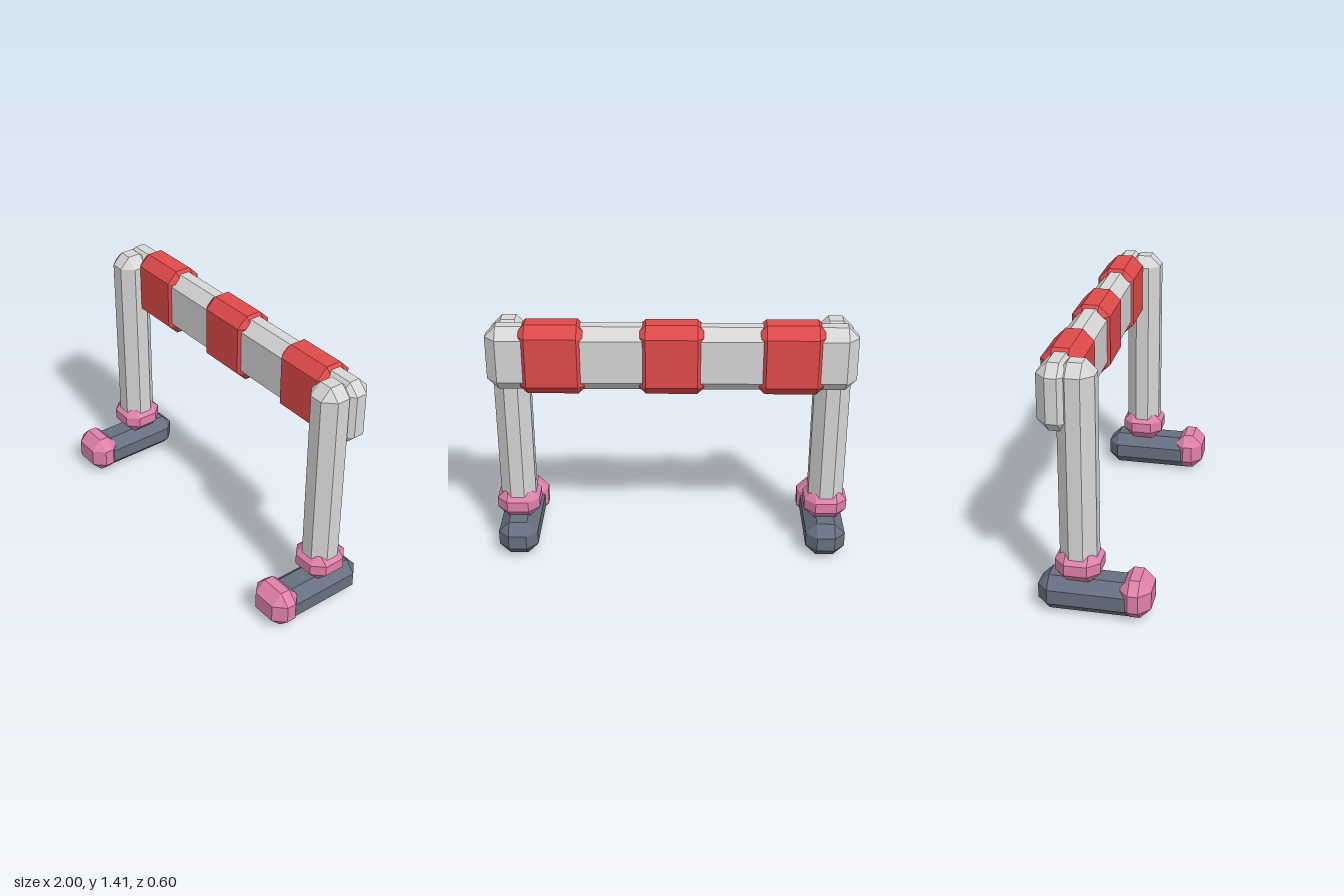
import * as THREE from 'three';
import { ConvexGeometry } from 'three/addons/geometries/ConvexGeometry.js';

const mat = (name, color) => Object.assign(new THREE.MeshStandardMaterial({ color, flatShading: true }), { name });

// Box with every edge and corner cut at 45 degrees
function chamferBox(w, h, d, c = 0.06) {
  const half = [w / 2, h / 2, d / 2];
  const points = [];
  for (const sx of [-1, 1]) for (const sy of [-1, 1]) for (const sz of [-1, 1]) {
    for (let axis = 0; axis < 3; axis++) {
      const [x, y, z] = half.map((v, i) => (i === axis ? v : v - c));
      points.push(new THREE.Vector3(sx * x, sy * y, sz * z));
    }
  }
  return new ConvexGeometry(points);
}

export function createModel() {
  const group = new THREE.Group();
  group.name = 'barrier';

  const grey = mat('light grey', 0xd6d6d6);
  const red = mat('red', 0xe04a4a);
  const pink = mat('pink', 0xe080ab);
  const slate = mat('slate', 0x667080);

  const add = (name, material, size, position, parent = group) => {
    const mesh = new THREE.Mesh(chamferBox(...size), material);
    mesh.name = name;
    mesh.position.set(...position);
    parent.add(mesh);
  };

  // Crossbar with three raised bands
  add('crossbar', grey, [1.974, 0.36, 0.18], [0, 1.21, -0.185]);
  for (const x of [-0.635, 0, 0.635]) {
    add('band', red, [0.394, 0.395, 0.21], [x, 1.208, -0.186]);
  }

  // Legs: post, ankle collar, foot and toe cap
  for (const [side, sign] of [['left', 1], ['right', -1]]) {
    const leg = new THREE.Group();
    leg.name = side + 'Leg';
    leg.position.x = sign * 0.872;
    group.add(leg);
    add('post', grey, [0.195, 1.19, 0.195], [0, 0.795, -0.083], leg);
    add('ankleCollar', pink, [0.238, 0.18, 0.24], [0, 0.277, -0.083], leg);
    add('foot', slate, [0.22, 0.2, 0.58], [0, 0.1, -0.01], leg);
    add('toeCap', pink, [0.256, 0.22, 0.174], [0, 0.12, 0.216], leg);
  }
  return group;
}
